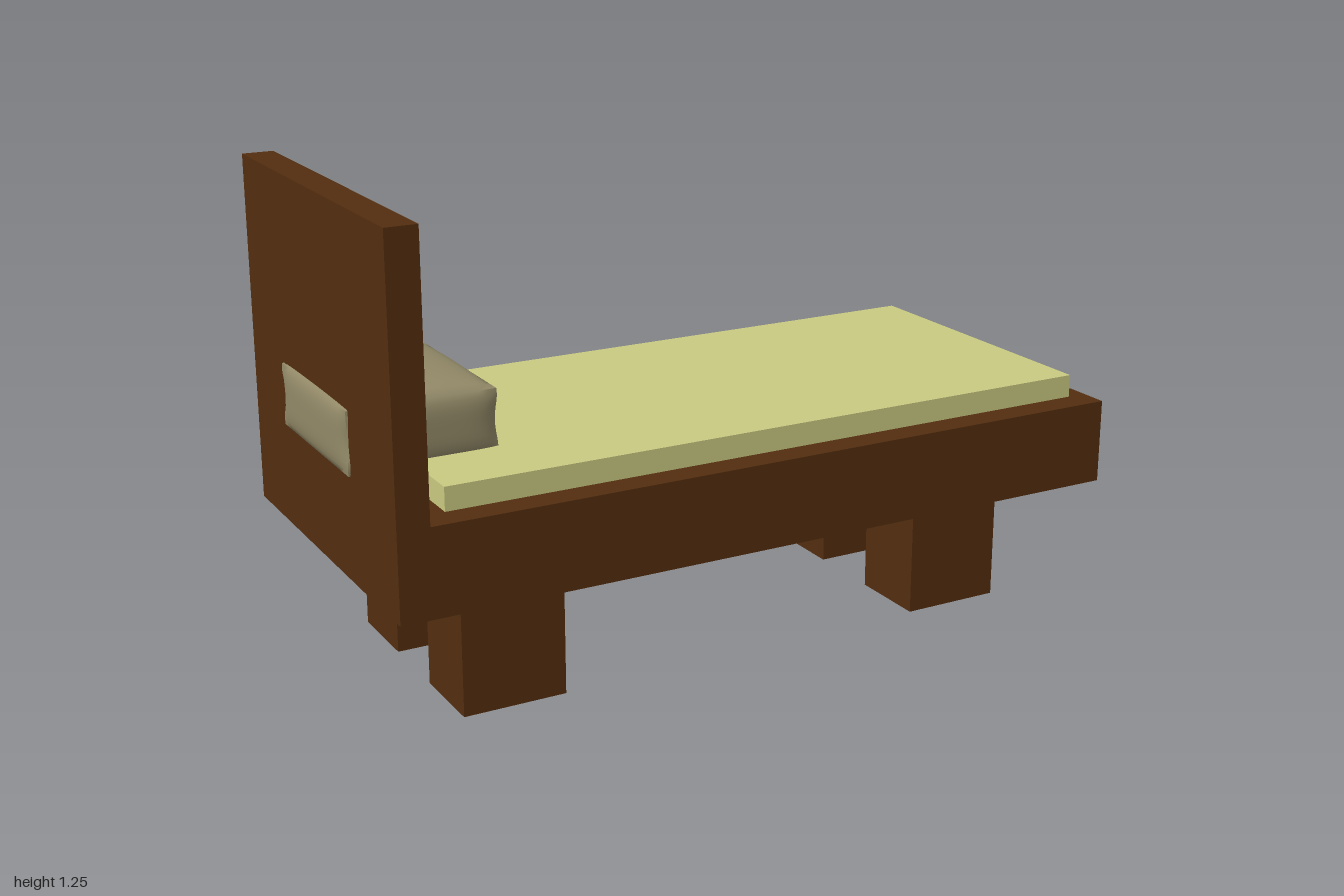
import * as THREE from 'three';
import { mergeVertices, toCreasedNormals } from 'three/addons/utils/BufferGeometryUtils.js';

const wood = new THREE.MeshStandardMaterial({ color: 0x532e0f });
const sheet = new THREE.MeshStandardMaterial({ color: 0xcaca82 });
const cushion = new THREE.MeshStandardMaterial({ color: 0x938a68 });

// Box given by its lower and upper corners
function block(name, material, [x0, y0, z0], [x1, y1, z1]) {
  const mesh = new THREE.Mesh(new THREE.BoxGeometry(x1 - x0, y1 - y0, z1 - z0), material);
  mesh.position.set((x0 + x1) / 2, (y0 + y1) / 2, (z0 + z1) / 2);
  mesh.name = name;
  return mesh;
}

// Pillow: a box with domed top and bottom, bulging sides and rounded upright corners
function pillowGeometry() {
  let geometry = new THREE.BoxGeometry(2, 2, 2, 20, 10, 20);
  geometry.deleteAttribute('uv');
  geometry.deleteAttribute('normal');
  const p = geometry.attributes.position;
  for (let i = 0; i < p.count; i++) {
    const x = p.getX(i), y = p.getY(i), z = p.getZ(i);
    const corner = 1 - 0.07 * Math.pow(Math.abs(x * z), 6) * (1 - y * y);
    const bulge = 0.95 + 0.05 * (1 - Math.pow(y, 4));
    const dome = (1 - x * x) * (1 - z * z);
    p.setXYZ(i,
      0.197 * x * corner * bulge,
      y * (0.079 + 0.036 * Math.sqrt(dome)),
      0.235 * z * corner * bulge);
  }
  geometry = mergeVertices(geometry, 1e-4);
  return toCreasedNormals(geometry, 0.9);
}

export function createModel() {
  const bed = new THREE.Group();
  bed.name = 'bed';

  bed.add(block('frame', wood, [-0.985, 0.34, -0.483], [1, 0.562, 0.483]));
  bed.add(block('headboard', wood, [-0.985, 0.562, -0.483], [-0.905, 1.245, 0.483]));
  bed.add(block('mattress', sheet, [-0.84, 0.562, -0.415], [0.948, 0.622, 0.41]));

  // Four chunky legs set in from the edges
  for (const [x0, x1] of [[-0.775, -0.505], [0.517, 0.785]]) {
    for (const [z0, z1] of [[-0.32, -0.103], [0.108, 0.323]]) {
      bed.add(block('leg', wood, [x0, 0, z0], [x1, 0.34, z1]));
    }
  }

  // Pillow, pushed through the headboard
  const pillow = new THREE.Mesh(pillowGeometry(), cushion);
  pillow.name = 'pillow';
  pillow.position.set(-0.803, 0.686, -0.02);
  bed.add(pillow);

  return bed;
}
